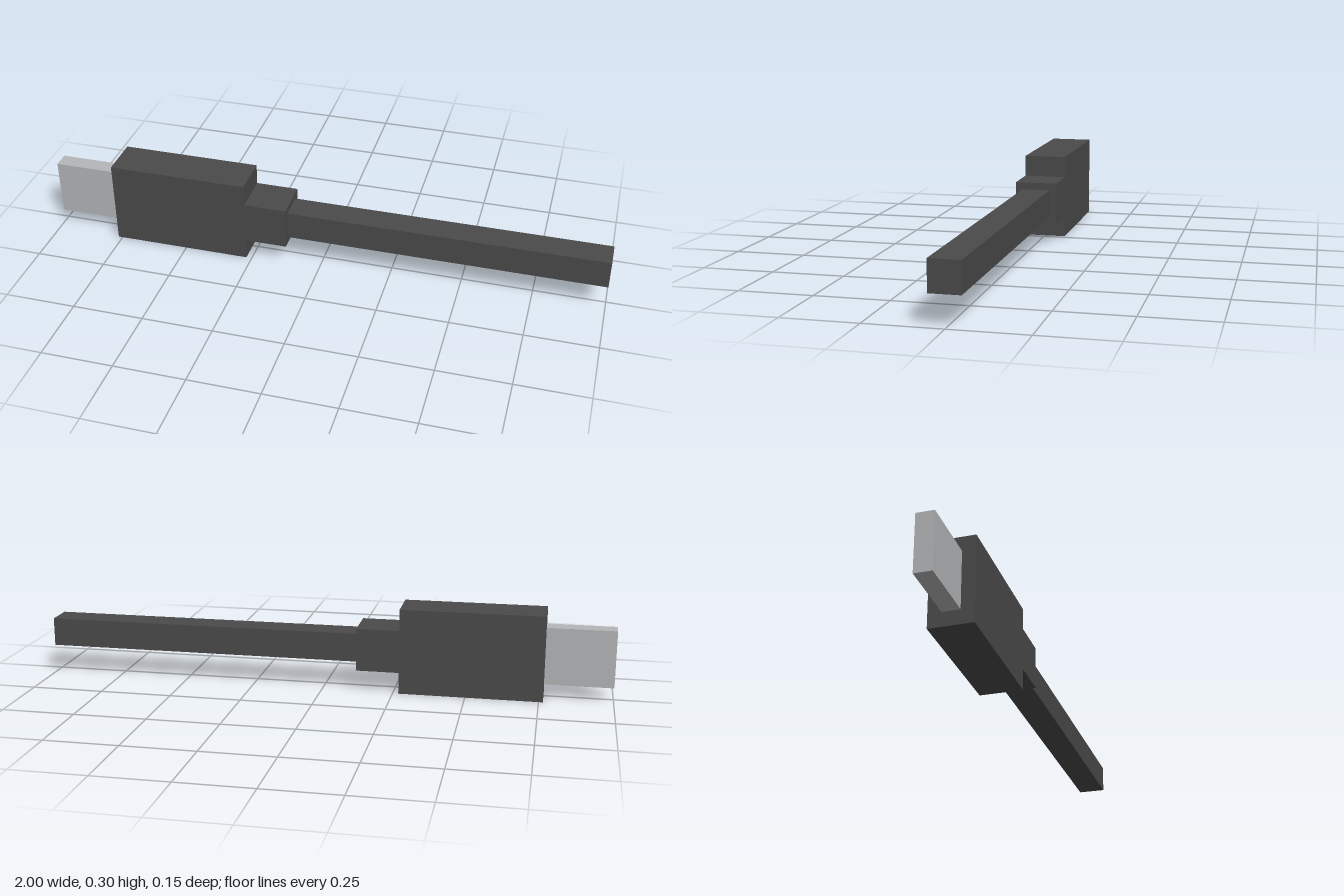
import * as THREE from 'three';

export function createModel() {
  const group = new THREE.Group();
  group.name = 'cableConnector';

  const darkPlastic = new THREE.MeshStandardMaterial({ color: 0x4a4a4a });
  darkPlastic.name = 'darkPlastic';
  const metal = new THREE.MeshStandardMaterial({ color: 0xb4b6b8 });
  metal.name = 'metal';

  // Every part is a box centred on the cable axis, running from x0 to x1
  const axisY = 0.15;
  function addBox(name, x0, x1, height, depth, material) {
    const mesh = new THREE.Mesh(new THREE.BoxGeometry(x1 - x0, height, depth), material);
    mesh.position.set((x0 + x1) / 2, axisY, 0);
    mesh.name = name;
    group.add(mesh);
  }

  addBox('plug', -1, -0.765, 0.2, 0.06, metal);
  addBox('housing', -0.765, -0.27, 0.3, 0.15, darkPlastic);
  addBox('strainRelief', -0.27, -0.12, 0.15, 0.15, darkPlastic);
  addBox('cable', -0.12, 1, 0.1, 0.1, darkPlastic);

  return group;
}
